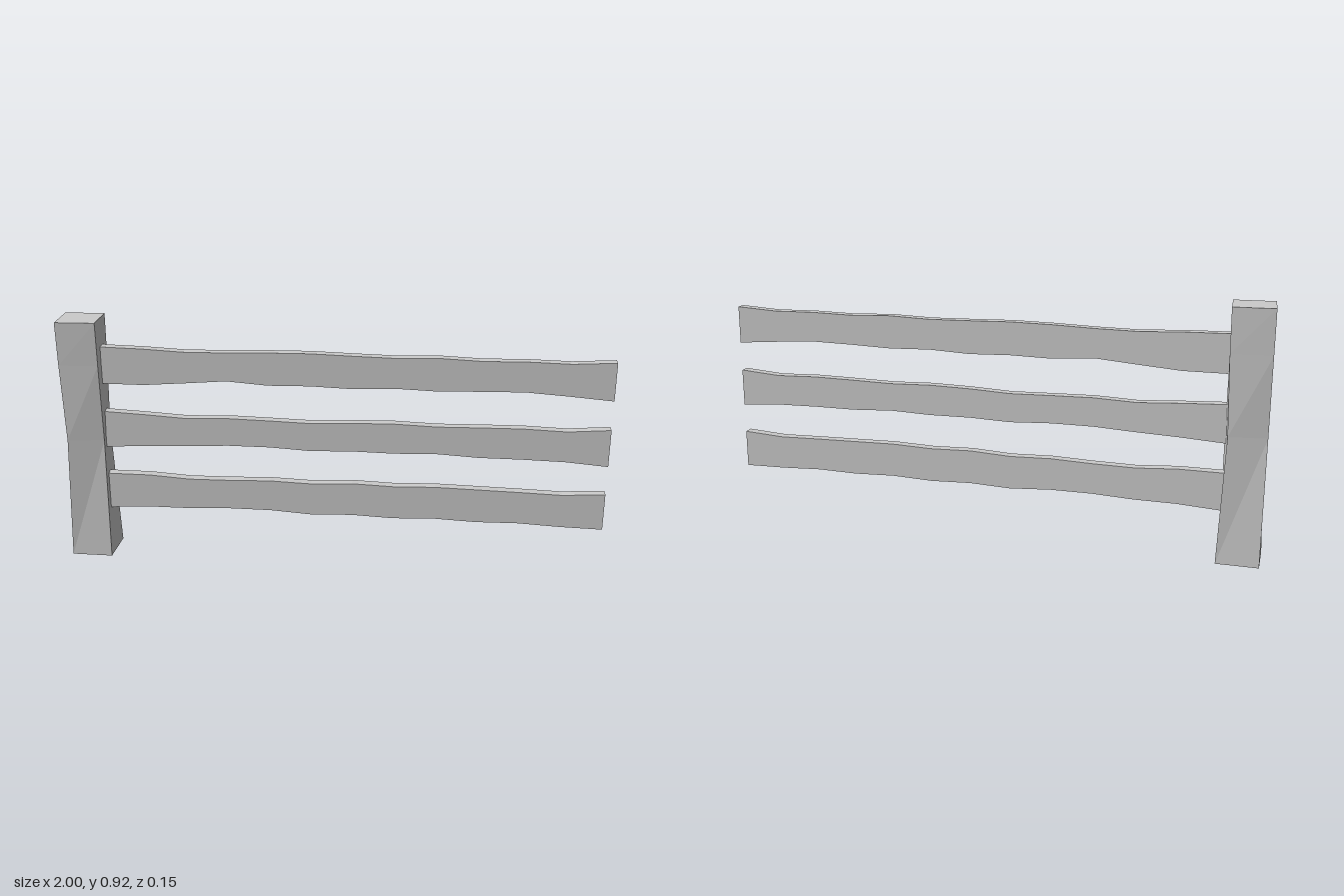
import * as THREE from 'three';

const material = new THREE.MeshStandardMaterial({ color: 0xcccccc, flatShading: true });

// Square post whose corners are each shaved along one side, giving a hewn twist
function makePost() {
  const half = 0.0765;
  const heights = [0, 0.47, 0.76, 0.92];
  const shave = [0, 0.018, 0.009, 0.007];
  const box = new THREE.BoxGeometry(2, 3, 2, 1, 3, 1);
  const pos = box.attributes.position;
  for (let i = 0; i < pos.count; i++) {
    const level = Math.round(pos.getY(i) + 1.5);
    const sx = Math.sign(pos.getX(i)), sz = Math.sign(pos.getZ(i));
    const s = shave[level];
    // front-left and back-right slide along x, the other two along z
    const alongX = sx * sz < 0;
    pos.setXYZ(i, sx * (half - (alongX ? s : 0)), heights[level], sz * (half - (alongX ? 0 : s)));
  }
  const geometry = box.toNonIndexed();
  geometry.computeVertexNormals();
  const post = new THREE.Mesh(geometry, material);
  post.name = 'post';
  post.position.x = -1 + half;
  return post;
}

// Plank with rough upper and lower edges; notches are in thousandths of a unit
function makeRail(name, y, topNotch, bottomNotch) {
  const x0 = -0.85, x1 = 1, half = 0.07, depth = 0.037;
  const n = topNotch.length - 1;
  const xAt = (i) => x0 + ((x1 - x0) * i) / n;
  const lower = bottomNotch.map((d, i) => new THREE.Vector2(xAt(i), -half + d / 1000));
  const upper = topNotch.map((d, i) => new THREE.Vector2(xAt(i), half - d / 1000));
  // short tenon seated inside the post
  lower.unshift(new THREE.Vector2(x0 - 0.02, lower[0].y));
  upper.unshift(new THREE.Vector2(x0 - 0.02, upper[0].y));
  const shape = new THREE.Shape([...lower, ...upper.reverse()]);
  const geometry = new THREE.ExtrudeGeometry(shape, { depth, bevelEnabled: false });
  geometry.translate(0, y, -depth / 2);
  const rail = new THREE.Mesh(geometry, material);
  rail.name = name;
  return rail;
}

export function createModel() {
  const fence = new THREE.Group();
  fence.name = 'fence';
  fence.add(makePost());
  fence.add(makeRail('topRail', 0.748,
    [0, 3, 10, 8, 3, 1, 5, 8, 3, 9, 6, 9, 0],
    [0, 0, 12, 25, 14, 17, 12, 19, 14, 19, 22, 12, 0]));
  fence.add(makeRail('middleRail', 0.499,
    [0, 7, 16, 10, 13, 17, 10, 7, 12, 9, 7, 12, 0],
    [0, 9, 15, 23, 23, 15, 20, 18, 23, 15, 15, 12, 0]));
  fence.add(makeRail('bottomRail', 0.25,
    [0, 0, 10, 8, 3, 8, 0, 5, 0, 3, 6, 10, 0],
    [0, 9, 10, 17, 17, 7, 13, 7, 13, 7, 10, 3, 0]));
  return fence;
}
